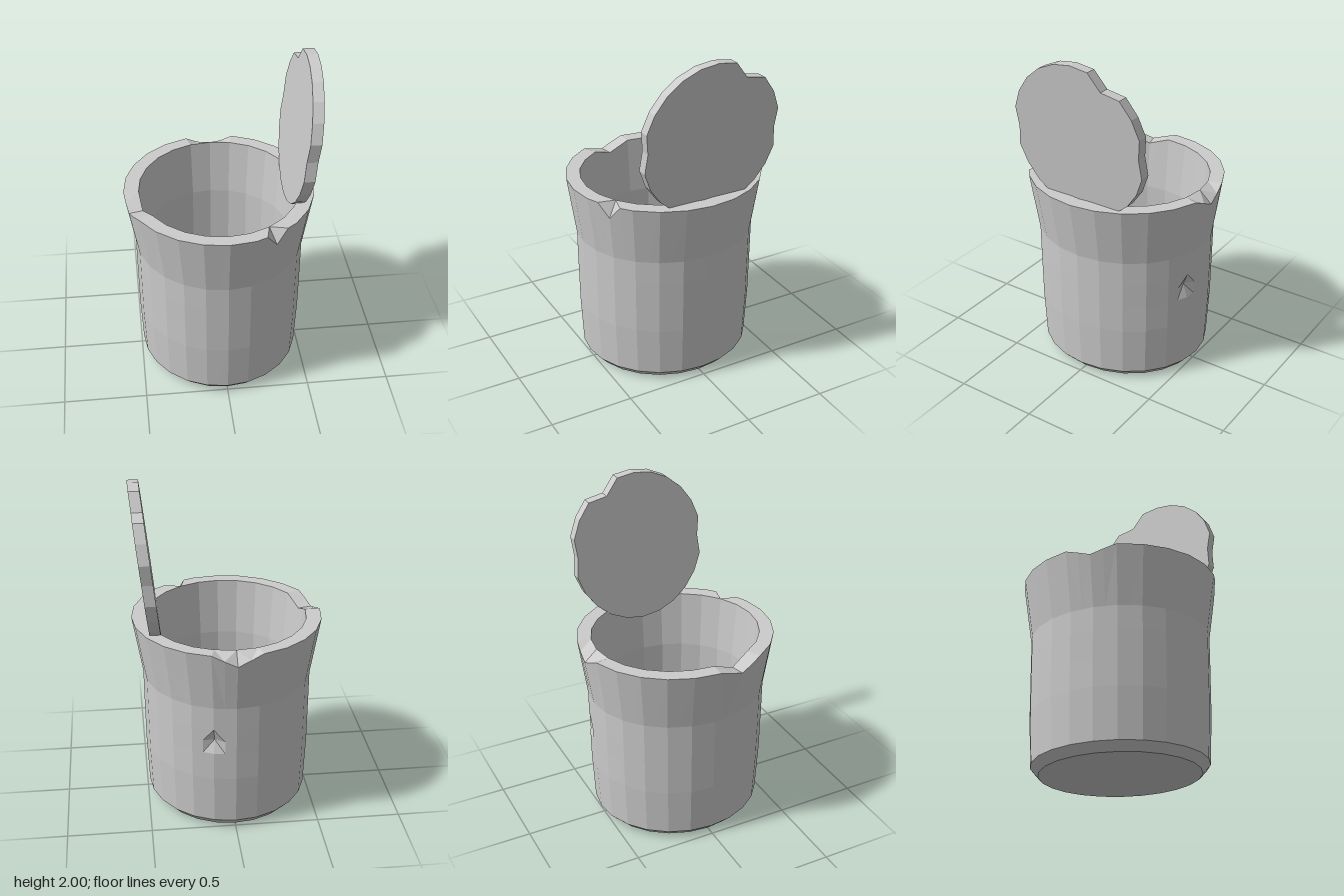
import * as THREE from 'three';

const material = new THREE.MeshStandardMaterial({ color: 0xcccccc, flatShading: true, side: THREE.DoubleSide });
const SIDES = 24, COLS = SIDES * 2; // every second column is the middle of a flat side

// Cross-sections [y, radius x, radius z]: base, outer wall, rim, inner wall, floor
const rows = [
  [0, 0, 0], [0, 0.44, 0.475], [0.05, 0.487, 0.52], [0.35, 0.5, 0.535],
  [0.52, 0.502, 0.537], [0.6, 0.503, 0.538], [0.68, 0.504, 0.539], [0.82, 0.505, 0.54],
  [1.175, 0.565, 0.59], [1.175, 0.475, 0.507], [0.83, 0.445, 0.477],
  [0.35, 0.45, 0.482], [0.08, 0.44, 0.472], [0.08, 0, 0],
];
const DENT = 5, RIM = 8, INNER = 9;

// Damage: [row, column, drop in y, scale of radius]
const damage = [
  [RIM, 4, 0.085, 0.975],                                             // front chip
  [RIM, 24, 0.07, 0.99], [RIM, 23, 0.035, 1], [RIM, 25, 0.035, 1],    // back chip
  [RIM, 38, 0.05, 0.99], [RIM, 37, 0.025, 1], [RIM, 39, 0.025, 1],    // side chip, outer edge
  [INNER, 38, 0.05, 1], [INNER, 37, 0.025, 1], [INNER, 39, 0.025, 1], // side chip, inner edge
  [DENT, 22, 0, 0.94],                                                // dent in the back wall
];

function potGeometry() {
  const points = [], index = [];
  rows.forEach(([y, rx, rz], i) => {
    for (let j = 0; j < COLS; j++) {
      const a = (j / COLS) * Math.PI * 2;
      const flat = j % 2 ? Math.cos(Math.PI / SIDES) : 1;
      const hit = damage.find((d) => d[0] === i && d[1] === j);
      const drop = hit ? hit[2] : 0, s = flat * (hit ? hit[3] : 1);
      points.push(Math.sin(a) * rx * s, y - drop, Math.cos(a) * rz * s);
    }
  });
  for (let i = 0; i < rows.length - 1; i++) {
    for (let j = 0; j < COLS; j++) {
      const k = (j + 1) % COLS;
      const a = i * COLS + j, b = i * COLS + k, c = b + COLS, d = a + COLS;
      if (i === 0) index.push(a, c, d);
      else if (i === rows.length - 2) index.push(a, b, c);
      else if (j % 2) index.push(a, b, c, a, c, d);
      else index.push(a, b, d, b, c, d);
    }
  }
  const g = new THREE.BufferGeometry();
  g.setAttribute('position', new THREE.Float32BufferAttribute(points, 3));
  g.setIndex(index);
  const out = g.toNonIndexed();
  out.computeVertexNormals();
  return out;
}

// Round lid with nicks in its edge, leaning outwards
function lidGeometry() {
  const nick = { 2: 0.87, 6: 0.935, 18: 0.935 };
  const outline = [];
  for (let k = 0; k < SIDES; k++) {
    const a = (k / SIDES) * Math.PI * 2, s = nick[k] || 1;
    outline.push(new THREE.Vector2(0.022 + Math.sin(a) * 0.427 * s, 1.543 + Math.cos(a) * 0.457 * s));
  }
  const g = new THREE.ExtrudeGeometry(new THREE.Shape(outline), { depth: 0.064, bevelEnabled: false });
  g.rotateY(Math.PI / 2);
  const p = g.attributes.position;
  for (let i = 0; i < p.count; i++) p.setX(i, p.getX(i) + 0.395 + 0.109 * (p.getY(i) - 1.085));
  g.computeVertexNormals();
  return g;
}

export function createModel() {
  const model = new THREE.Group();
  model.name = 'lidded pot';
  const add = (name, geometry) => {
    const mesh = new THREE.Mesh(geometry, material);
    mesh.name = name;
    model.add(mesh);
  };
  add('pot', potGeometry());
  add('lid', lidGeometry());
  return model;
}
